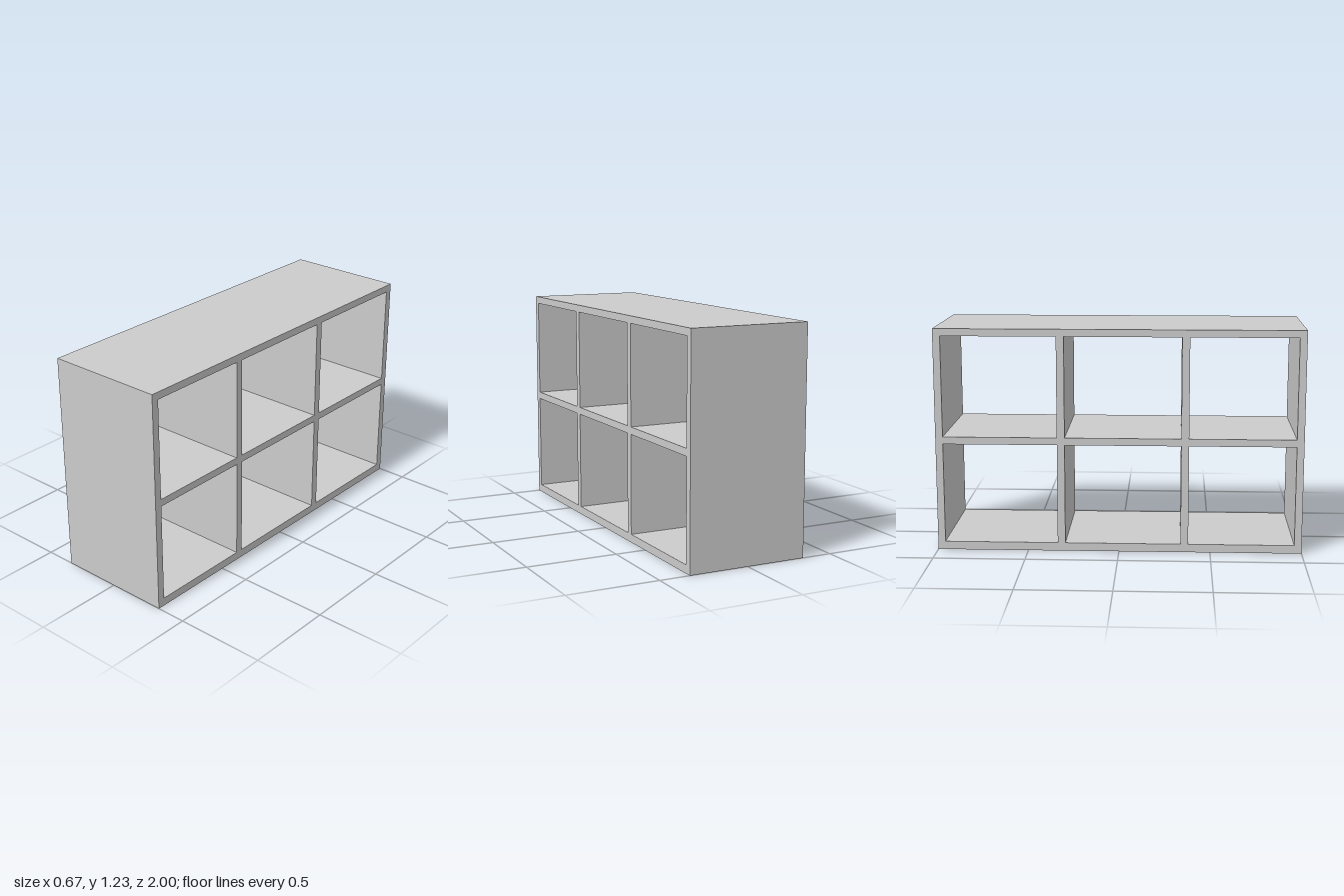
import * as THREE from 'three';

// Open shelving unit: two rows of three compartments, open on both x sides
export function createModel() {
  const group = new THREE.Group();
  const material = new THREE.MeshStandardMaterial({ color: 0xcccccc, flatShading: true });
  const DEPTH = 0.666, HEIGHT = 1.227, LENGTH = 2, T = 0.04;
  const BASE = 0.045, SHELF = 0.595;

  // Board spanning the full depth, given by its y and z ranges
  function board(name, y0, y1, z0, z1) {
    const mesh = new THREE.Mesh(new THREE.BoxGeometry(DEPTH, y1 - y0, z1 - z0), material);
    mesh.position.set(0, (y0 + y1) / 2, (z0 + z1) / 2);
    mesh.name = name;
    group.add(mesh);
  }

  const end = LENGTH / 2, inner = end - T;

  // End panels
  board('frontPanel', 0, HEIGHT, inner, end);
  board('backPanel', 0, HEIGHT, -end, -inner);

  // Horizontal boards between the end panels
  board('bottomBoard', 0, BASE, -inner, inner);
  board('middleShelf', SHELF, SHELF + T, -inner, inner);
  board('topBoard', HEIGHT - T, HEIGHT, -inner, inner);

  // Upright dividers in each row
  const rows = [['lower', BASE, SHELF], ['upper', SHELF + T, HEIGHT - T]];
  for (const [row, y0, y1] of rows) {
    board(row + 'FrontDivider', y0, y1, 0.338, 0.38);
    board(row + 'BackDivider', y0, y1, -0.337, -0.295);
  }

  return group;
}
